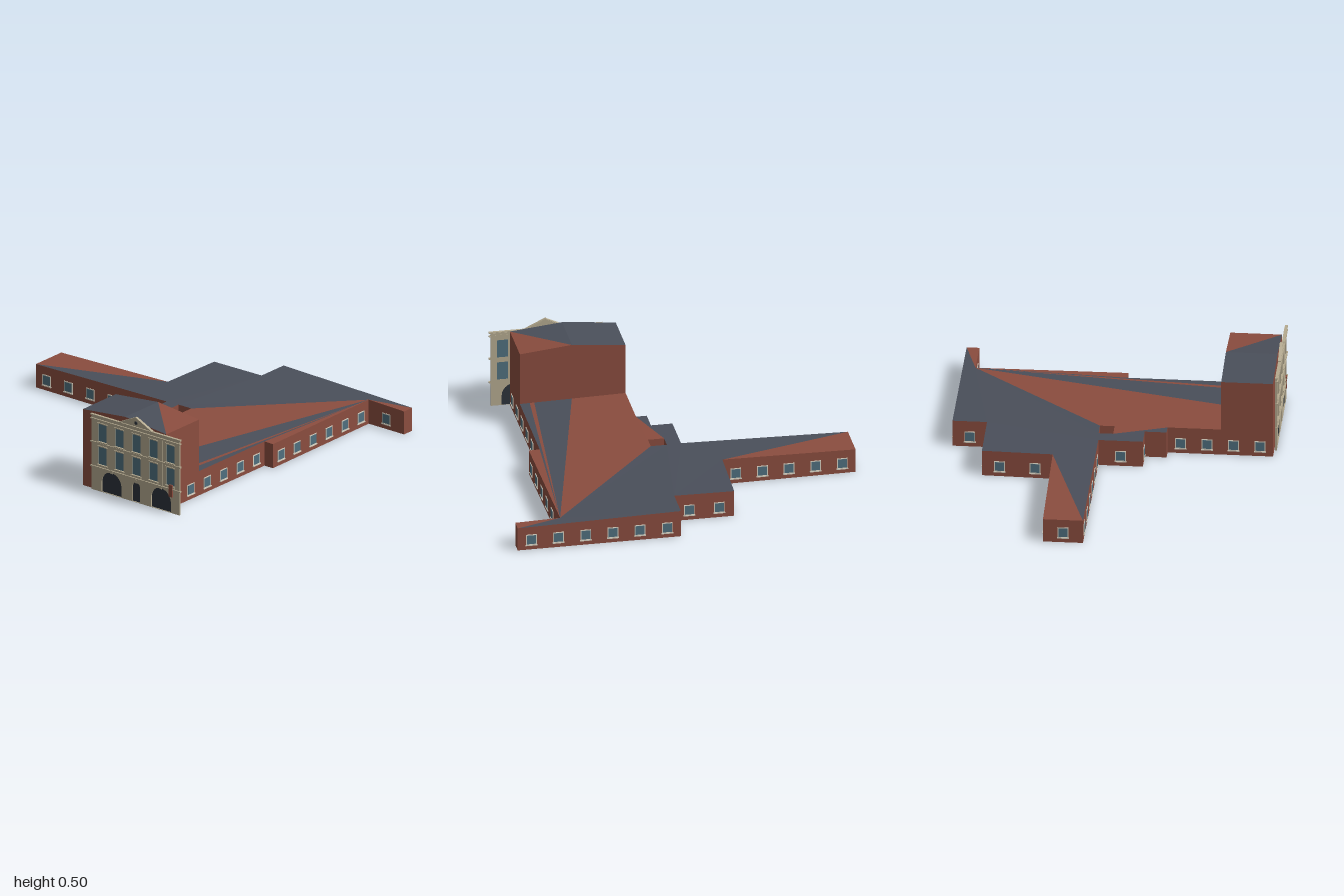
import * as THREE from 'three';

const mat = (color) => new THREE.MeshStandardMaterial({ color, side: THREE.DoubleSide, flatShading: true });

export function createModel() {
  const model = new THREE.Group();
  const brick = mat(0x8b4d3f), slate = mat(0x4a4f5a), stone = mat(0xb5aa90);
  const glass = mat(0x50707f), dark = mat(0x2d333b), trim = mat(0xd6d0c0), floorMat = mat(0x5a3028);

  const add = (name, geo, material, parent = model) => {
    const mesh = new THREE.Mesh(geo, material);
    mesh.name = name;
    parent.add(mesh);
    return mesh;
  };
  const box = (name, w, h, d, x, y, z, material, parent = model) =>
    add(name, new THREE.BoxGeometry(w, h, d), material, parent).position.set(x, y, z);

  // Faces given as corner loops, fanned into triangles
  const faces = (name, loops, material, parent) => {
    const pos = [];
    for (const l of loops)
      for (let i = 1; i < l.length - 1; i++) pos.push(...l[0], ...l[i], ...l[i + 1]);
    const g = new THREE.BufferGeometry();
    g.setAttribute('position', new THREE.Float32BufferAttribute(pos, 3));
    g.computeVertexNormals();
    return add(name, g, material, parent);
  };

  // Eaves height of the low building: falls gently toward the wing ends
  const profile = [[-1, 0.137], [-0.05, 0.154], [0.11, 0.154], [0.7, 0.143], [1, 0.135]];
  const eaves = (x) => {
    for (let i = 1; i < profile.length; i++) {
      const [x0, h0] = profile[i - 1], [x1, h1] = profile[i];
      if (x <= x1) return h0 + (h1 - h0) * (x - x0) / (x1 - x0);
    }
    return 0.135;
  };

  // Plan: x, z, number of windows in the wall starting at this corner
  const outline = [
    [0.11, 0.87, 0], [0.7, 0.87, 6], [0.7, 0.02, 0], [0.76, 0.02, 6], [0.75, -0.82, 1],
    [1, -0.82, 0], [1, -0.89, 6], [0.09, -0.89, 1], [0.09, -0.7, 2], [-0.245, -0.7, 2],
    [-0.255, -0.31, 5], [-1, -0.3, 1], [-1, -0.08, 6], [-0.07, -0.075, 1], [-0.07, 0.17, 1],
    [0.05, 0.17, 0], [0.05, 0.29, 0], [0.11, 0.29, 4],
  ];
  const court = [[0.01, -0.08, 0], [0.1, -0.08, 0], [0.1, 0, 0], [0.01, 0, 0]];

  // Framed window with a sill
  const window = (x, z, angle) => {
    const g = new THREE.Group();
    g.name = 'wallWindow';
    box('frame', 0.06, 0.062, 0.006, 0, 0, 0, trim, g);
    box('pane', 0.05, 0.052, 0.008, 0, 0, 0, glass, g);
    box('sill', 0.066, 0.006, 0.012, 0, -0.033, 0, trim, g);
    g.position.set(x, 0.06, z);
    g.rotation.y = angle;
    model.add(g);
  };

  // Low walls with their windows
  const walls = [];
  for (const loop of [outline, court]) {
    loop.forEach(([ax, az, n], i) => {
      const [bx, bz] = loop[(i + 1) % loop.length];
      walls.push([[ax, 0, az], [bx, 0, bz], [bx, eaves(bx), bz], [ax, eaves(ax), az]]);
      for (let k = 0; k < n; k++) {
        const t = (k + 0.5) / n;
        window(ax + (bx - ax) * t, az + (bz - az) * t, Math.atan2(az - bz, bx - ax));
      }
    });
  }
  faces('lowWalls', walls, brick);

  // Flat plan areas laid at floor or eaves height
  const flat = (name, pts, material, height, hole) => {
    const s = new THREE.Shape(pts.map(([x, z]) => new THREE.Vector2(x, -z)));
    if (hole) s.holes.push(new THREE.Path(hole.map(([x, z]) => new THREE.Vector2(x, -z))));
    const g = new THREE.ShapeGeometry(s).rotateX(-Math.PI / 2);
    const p = g.attributes.position;
    for (let i = 0; i < p.count; i++) p.setY(i, height(p.getX(i)));
    g.computeVertexNormals();
    add(name, g, material);
  };
  flat('floor', outline, floorMat, () => 0, court);

  // Low roof in slate and brick-red patches
  const hub = [0.75, -0.82];
  flat('slateRoof', [hub, [1, -0.89], [0.09, -0.89], [0.09, -0.7], [-0.245, -0.7], [-0.255, -0.31],
    [-1, -0.08], [-0.07, -0.075], [-0.07, 0.17], [0.05, 0.17], [0.05, 0.29], [0.11, 0.29],
    [0.01, 0], [0.01, -0.08], [0.1, -0.08]], slate, eaves);
  flat('redRoof', [hub, [0.1, -0.08], [0.1, 0], [0.01, 0], [0.11, 0.29], [0.11, 0.585], [0.41, 0.585]], brick, eaves);
  flat('slateRoofStrip', [hub, [0.41, 0.585], [0.62, 0.585]], slate, eaves);
  flat('redRoofStrip', [hub, [0.62, 0.585], [0.645, 0.585]], brick, eaves);
  flat('slateRoofEdge', [hub, [0.645, 0.585], [0.7, 0.585], [0.7, 0.02]], slate, eaves);
  flat('redRoofEdge', [hub, [0.7, 0.02], [0.76, 0.02]], brick, eaves);
  flat('redWingRoof', [[-1, -0.3], [-1, -0.08], [-0.255, -0.31]], brick, eaves);
  flat('redArmRoof', [[1, -0.89], [1, -0.82], hub], brick, eaves);

  // Tall front block with a shallow gable
  const L = 0.11, R = 0.7, M = 0.41, B = 0.585, F = 0.869, lo = 0.13, top = 0.447, ridge = 0.477;
  faces('towerWalls', [
    [[L, lo, F], [R, lo, F], [R, top, F], [M, ridge, F], [L, top, F]],
    [[R, lo, B], [L, lo, B], [L, top, B], [M, ridge, B], [R, top, B]],
    [[R, lo, F], [R, lo, B], [R, top, B], [R, top, F]],
    [[L, lo, B], [L, lo, F], [L, top, F], [L, top, B]],
  ], brick);
  faces('towerSlateRoof', [
    [[L, top, B], [L, top, F], [M, ridge, F], [M, ridge, B]],
    [[M, ridge, B], [M, ridge, F], [R, top, F]],
  ], slate);
  faces('towerRedRoof', [[[M, ridge, B], [R, top, F], [R, top, B]]], brick);

  // Stone facade with openings
  const facade = new THREE.Group();
  facade.name = 'facade';
  model.add(facade);
  const rect = (C, x0, y0, x1, y1) => {
    const c = new C();
    c.moveTo(x0, y0); c.lineTo(x1, y0); c.lineTo(x1, y1); c.lineTo(x0, y1); c.closePath();
    return c;
  };
  const arch = (C, x, r, spring) => {
    const c = new C();
    c.moveTo(x - r, 0.002); c.lineTo(x + r, 0.002); c.lineTo(x + r, spring);
    c.absarc(x, spring, r, 0, Math.PI, false);
    c.closePath();
    return c;
  };
  const extrude = (name, shape, z, depth, material) =>
    add(name, new THREE.ExtrudeGeometry(shape, { depth, bevelEnabled: false, curveSegments: 16 }), material, facade)
      .position.z = z;
  const front = rect(THREE.Shape, 0.185, 0, 0.805, 0.43);
  const bays = [0.26, 0.38, 0.5, 0.62, 0.74], rows = [0.158, 0.293];
  const arches = [[0.325, 0.07, 0.058], [0.5, 0.027, 0.09], [0.675, 0.07, 0.058]];
  for (const [x, r, s] of arches) {
    front.holes.push(arch(THREE.Path, x, r, s));
    extrude('archDoor', arch(THREE.Shape, x, r, s), 0.873, 0.005, dark);
    box('keystone', 0.014, 0.02, 0.004, x, s + r + 0.006, 0.885, stone, facade);
  }
  for (const y of rows) for (const x of bays) {
    front.holes.push(rect(THREE.Path, x - 0.03, y, x + 0.03, y + 0.105));
    box('tallWindow', 0.06, 0.105, 0.005, x, y + 0.0525, 0.876, glass, facade);
    box('windowSill', 0.072, 0.007, 0.007, x, y - 0.003, 0.886, stone, facade);
    box('windowHood', 0.07, 0.006, 0.006, x, y + 0.109, 0.886, stone, facade);
  }
  extrude('facadeWall', front, 0.873, 0.011, stone);

  // Cornices, corner pilasters and parapet
  for (const [y, h] of [[0.14, 0.008], [0.284, 0.008], [0.421, 0.006], [0.443, 0.007]])
    box('cornice', 0.635, h, 0.015, 0.498, y, 0.884, stone, facade);
  box('parapet', 0.62, 0.016, 0.01, 0.495, 0.434, 0.879, stone, facade);
  for (const x of [0.2, 0.32, 0.44, 0.56, 0.68, 0.79])
    box('pilaster', 0.018, 0.28, 0.003, x, 0.28, 0.8845, stone, facade);

  // Pediment with raking mouldings and a small boss
  const gable = new THREE.Shape([[0.385, 0.445], [0.615, 0.445], [0.5, 0.5]].map((p) => new THREE.Vector2(...p)));
  extrude('pediment', gable, 0.873, 0.012, stone);
  for (const s of [-1, 1]) {
    const rake = add('pedimentMoulding', new THREE.BoxGeometry(0.128, 0.006, 0.016), stone, facade);
    rake.position.set(0.5 + s * 0.0575, 0.4725, 0.883);
    rake.rotation.z = -s * Math.atan2(0.055, 0.115);
  }
  const boss = add('pedimentBoss', new THREE.CylinderGeometry(0.01, 0.01, 0.005, 12).rotateX(Math.PI / 2), dark, facade);
  boss.position.set(0.5, 0.469, 0.886);

  // Small projecting sign board beside the right doorway
  box('signBoard', 0.026, 0.07, 0.008, 0.748, 0.132, 0.888, brick, facade);

  return model;
}
